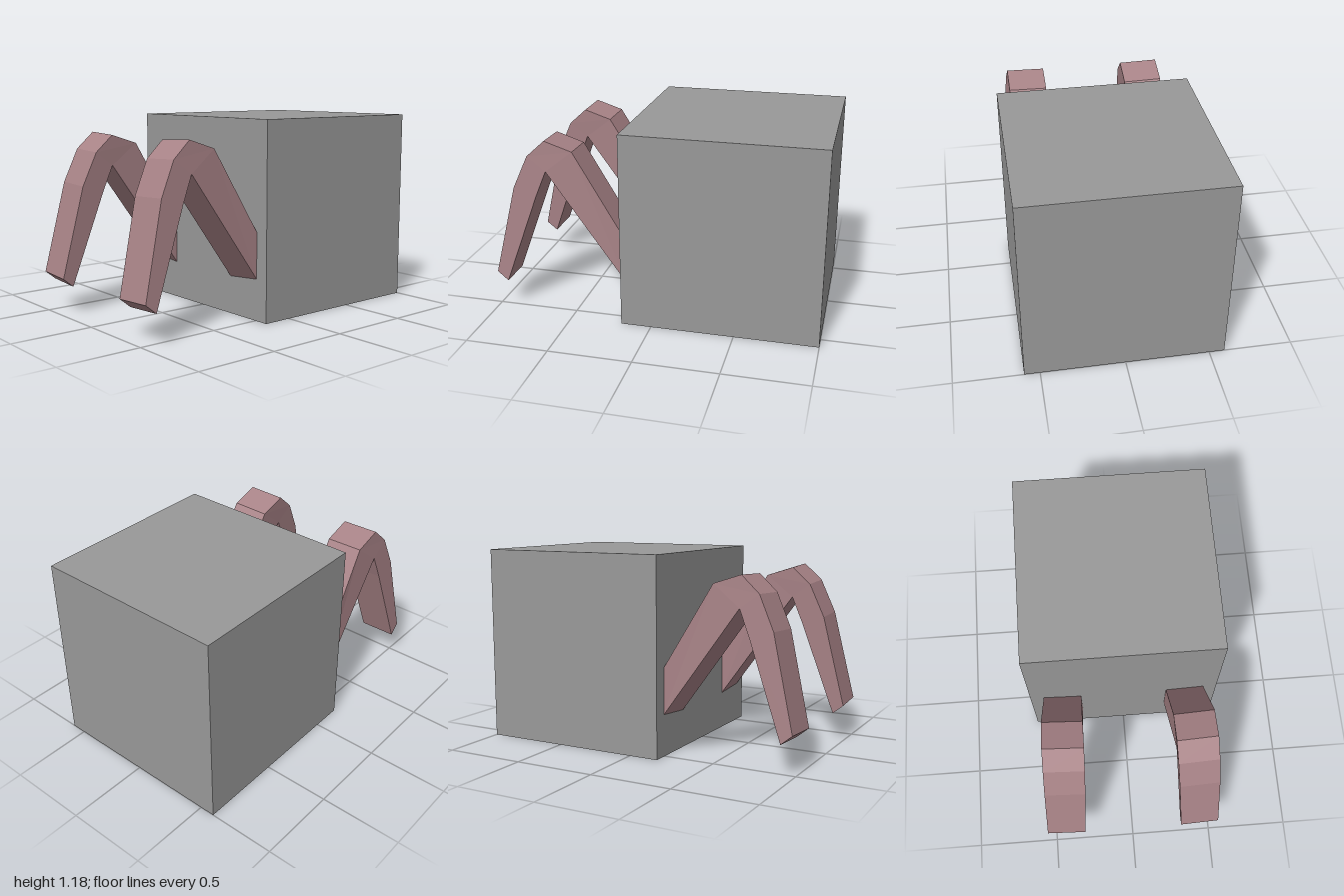
import * as THREE from 'three';

const WIDTH = 0.237;

// Leg outline in (z, y), from the body over the knee to the foot and back
const PROFILE = [
  [0.18, 0.51], [0.5, 1.03], [0.67, 1.085], [0.78, 0.985], [0.87, 0.785], [1.0, 0.235],
  [0.933, 0.18], [0.73, 0.74], [0.665, 0.9], [0.18, 0.235],
];

// Bent leg: an extruded outline, splayed outwards towards the foot and slightly rolled
function legGeometry(side) {
  const shape = new THREE.Shape(PROFILE.map(([z, y]) => new THREE.Vector2(z, y)));
  const geo = new THREE.ExtrudeGeometry(shape, { depth: WIDTH, bevelEnabled: false });
  geo.rotateY(-Math.PI / 2).translate(WIDTH / 2, 0, 0);
  const p = geo.attributes.position;
  for (let i = 0; i < p.count; i++) {
    const x = p.getX(i), y = p.getY(i), z = p.getZ(i);
    const splay = z > 0.6 ? (1.085 - y) * 0.054 : (0.5 - z) * 0.035;
    const inner = x * side < 0;
    p.setXYZ(i, x + side * (0.26 + WIDTH / 2 + splay), y - (inner ? 0.009 : 0), z - (inner ? 0 : 0.008));
  }
  geo.computeVertexNormals();
  return geo;
}

export function createModel() {
  const group = new THREE.Group();
  const grey = new THREE.MeshStandardMaterial({ color: 0x999999 });
  grey.name = 'grey';
  const pink = new THREE.MeshStandardMaterial({ color: 0xa88387 });
  pink.name = 'dustyPink';

  // Cube body
  const body = new THREE.Mesh(new THREE.BoxGeometry(1.184, 1.184, 1.184), grey);
  body.name = 'body';
  body.position.set(0, 0.592, -0.408);
  group.add(body);

  // Pair of front legs
  for (const side of [1, -1]) {
    const leg = new THREE.Mesh(legGeometry(side), pink);
    leg.name = side > 0 ? 'leftLeg' : 'rightLeg';
    group.add(leg);
  }
  return group;
}
